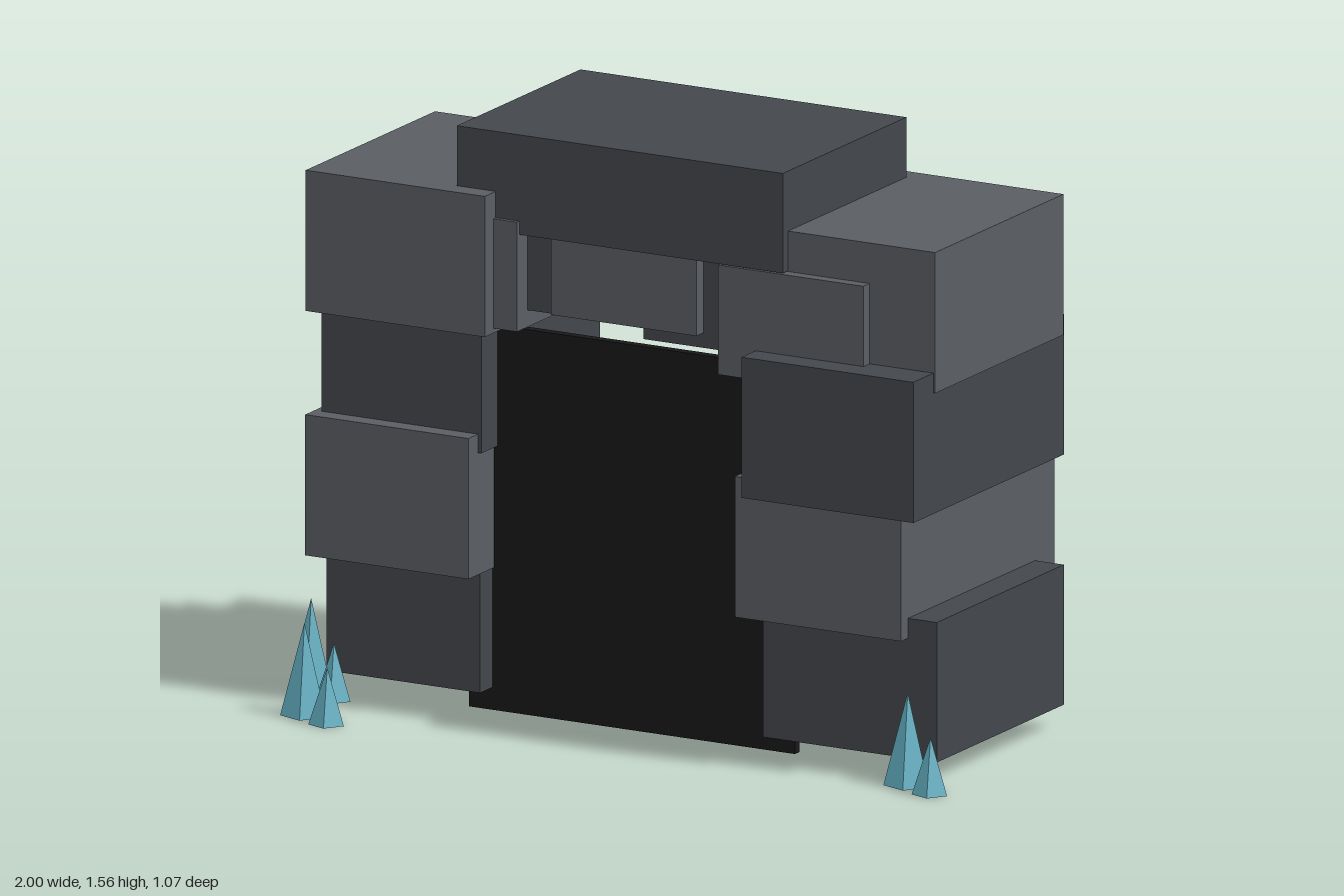
import * as THREE from 'three';

const material = (color) => new THREE.MeshStandardMaterial({ color, flatShading: true });

export function createModel() {
  const group = new THREE.Group();
  const light = material(0x5a5d62);
  const dark = material(0x43474c);
  const black = material(0x18181a);
  const crystal = material(0x66b2c6);

  // Box given by its extents on each axis
  function block(name, mat, [x0, x1], [y0, y1], [z0, z1]) {
    const mesh = new THREE.Mesh(new THREE.BoxGeometry(x1 - x0, y1 - y0, z1 - z0), mat);
    mesh.position.set((x0 + x1) / 2, (y0 + y1) / 2, (z0 + z1) / 2);
    mesh.name = name;
    group.add(mesh);
  }

  // Two pillars of offset stones, alternating dark and light from the ground up
  const courses = [[0.06, 0.433], [0.38, 0.755], [0.705, 1.08], [1.027, 1.402]];
  const pillars = {
    rightPillar: [
      [[-0.9, -0.445], [-0.49, 0.22]],
      [[-0.923, -0.44], [-0.535, 0.29]],
      [[-0.903, -0.43], [-0.38, 0.24]],
      [[-0.93, -0.4], [-0.4, 0.275]],
    ],
    leftPillar: [
      [[0.405, 0.92], [-0.42, 0.243]],
      [[0.343, 0.835], [-0.52, 0.28]],
      [[0.372, 0.88], [-0.49, 0.295]],
      [[0.36, 0.885], [-0.48, 0.19]],
    ],
  };
  for (const [name, stones] of Object.entries(pillars)) {
    stones.forEach(([x, z], i) => block(`${name}Stone${i + 1}`, i % 2 ? light : dark, x, courses[i], z));
  }

  // Row of lintel stones: centre x, bottom y, back z
  const lintel = [
    [-0.545, 1.04, -0.415],
    [-0.29, 1.085, -0.47],
    [-0.03, 1.09, -0.443],
    [0.223, 1.05, -0.48],
    [0.476, 1.002, -0.423],
  ];
  lintel.forEach(([x, y, z], i) =>
    block(`lintelStone${i + 1}`, i % 2 ? dark : light, [x - 0.215, x + 0.215], [y, y + 0.292], [z, z + 0.645]));

  block('capstone', dark, [-0.515, 0.45], [1.296, 1.562], [-0.427, 0.218]);

  // Black panel filling the doorway
  block('doorwayPanel', black, [-0.515, 0.45], [0, 1.027], [0.13, 0.155]);

  // Pairs of crystals: a tall one with a short one beside it
  function spike(name, x, z, radius, height) {
    const geometry = new THREE.ConeGeometry(radius, height, 5, 1, false, Math.PI / 2);
    const mesh = new THREE.Mesh(geometry, crystal);
    mesh.position.set(x, height / 2, z);
    mesh.name = name;
    group.add(mesh);
  }
  for (const [x, z] of [[-0.948, 0.215], [-0.843, 0.435], [0.852, 0.275]]) {
    spike('tallCrystal', x, z, 0.063, 0.245);
    spike('shortCrystal', x + 0.097, z + 0.052, 0.049, 0.15);
  }

  return group;
}
